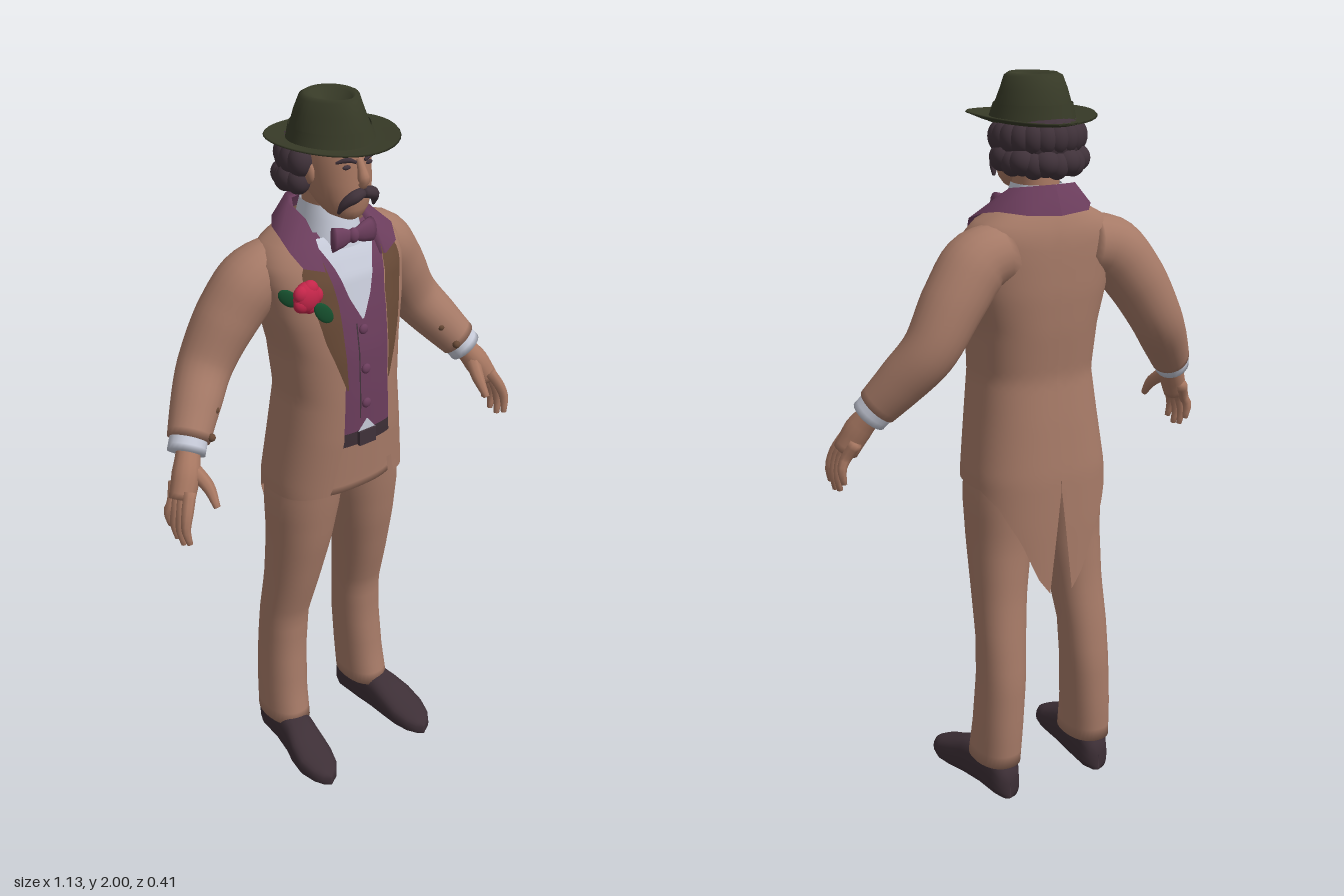
import * as THREE from 'three';

const mat = (name, color) => {
  const m = new THREE.MeshStandardMaterial({ color, side: THREE.DoubleSide });
  m.name = name;
  return m;
};
const V = (x, y, z) => new THREE.Vector3(x, y, z);
const mix = THREE.MathUtils.lerp;

// Linear lookup in rows [key, a, b, ...] sorted by rising key
function keyed(rows, k) {
  let i = 0;
  while (i < rows.length - 2 && k > rows[i + 1][0]) i++;
  const [a, b] = [rows[i], rows[i + 1]];
  const t = THREE.MathUtils.clamp((k - a[0]) / (b[0] - a[0]), 0, 1);
  return a.slice(1).map((v, n) => mix(v, b[n + 1], t));
}

// Skin a list of equal-length cross-sections
function loft(rings, closed = true) {
  const n = rings[0].length, idx = [];
  for (let i = 0; i < rings.length - 1; i++)
    for (let j = 0; j < (closed ? n : n - 1); j++) {
      const a = i * n + j, b = i * n + (j + 1) % n;
      idx.push(a, a + n, b, b, a + n, b + n);
    }
  const g = new THREE.BufferGeometry().setFromPoints(rings.flat());
  g.setIndex(idx);
  g.computeVertexNormals();
  return g;
}

const pw = (v, p) => Math.sign(v) * Math.abs(v) ** p;
// Horizontal rounded section
function ring(y, rx, zf, zb, cx = 0, p = 0.9, n = 36) {
  return Array.from({ length: n }, (_, j) => {
    const t = j / n * Math.PI * 2;
    return V(cx + rx * pw(Math.sin(t), p), y, (zf + zb) / 2 + (zf - zb) / 2 * pw(Math.cos(t), p));
  });
}

// Round limb along a curve; radii are spread evenly; ends are capped
function limb(pts, radii, steps = 16, n = 14) {
  const c = new THREE.CatmullRomCurve3(pts.map(p => V(...p)));
  const f = c.computeFrenetFrames(steps);
  const rows = radii.map((r, i) => [i / (radii.length - 1), r]);
  const rings = [];
  for (let i = -1; i <= steps + 1; i++) {
    const k = THREE.MathUtils.clamp(i, 0, steps), o = c.getPointAt(k / steps);
    const r = i === k ? keyed(rows, k / steps)[0] : 0;
    rings.push(Array.from({ length: n }, (_, j) => {
      const t = -j / n * Math.PI * 2;
      return o.clone().addScaledVector(f.normals[k], r * Math.cos(t)).addScaledVector(f.binormals[k], r * Math.sin(t));
    }));
  }
  return loft(rings);
}

// Torso profile: y, half width, front z, back z
const TORSO = [[0.62, 0.19, 0.12, -0.187], [0.8, 0.205, 0.12, -0.187], [0.95, 0.2, 0.122, -0.185],
  [1.1, 0.18, 0.13, -0.171], [1.22, 0.166, 0.13, -0.157], [1.35, 0.176, 0.124, -0.172], [1.45, 0.2, 0.108, -0.178],
  [1.55, 0.215, 0.085, -0.177], [1.6, 0.21, 0.06, -0.174], [1.64, 0.175, 0.035, -0.162], [1.68, 0.095, 0.0, -0.14]];
const EXP = 0.8, SIDES = 48;
const body = (y, inset) => {
  const [rx, zf, zb] = keyed(TORSO, y);
  return ring(y, rx - inset, zf - inset, zb + inset, 0, EXP, SIDES);
};
function frontZ(x, y, off = 0) {
  const [rx, zf, zb] = keyed(TORSO, y);
  const s = Math.min(1, Math.abs(x) / rx) ** (1 / EXP);
  return (zf + zb) / 2 + (zf - zb) / 2 * Math.sqrt(1 - s * s) ** EXP + off;
}
// Thin cloth panel lying on the chest between two x outlines
function panel(inner, outer, y0, y1, off, s = 1) {
  const rows = [];
  for (let i = 0; i <= 20; i++) {
    const y = mix(y1, y0, i / 20), a = keyed(inner, y)[0], b = keyed(outer, y)[0];
    rows.push(Array.from({ length: 9 }, (_, j) => { const x = s * mix(a, b, j / 8); return V(x, y, frontZ(x, y, off)); }));
  }
  return loft(rows, false);
}
const GAP = [[0.92, 0.12], [0.96, 0.105], [1.1, 0.076], [1.27, 0.07], [1.5, 0.08], [1.62, 0.1], [1.68, 0.08]];
const HEM = [[0, 0.94], [0.25, 0.925], [0.5, 0.92], [0.65, 0.88], [0.8, 0.79], [0.92, 0.67], [1, 0.62]];
const SLIT = [[0.62, 0.035], [0.92, 0]];

// Half of the tailcoat, from the front opening round to the back slit
function coatHalf(s) {
  const rows = [];
  for (let i = 0; i <= 36; i++)
    rows.push(Array.from({ length: 29 }, (_, j) => {
      const u = j / 28, y = mix(1.68, keyed(HEM, u)[0], i / 36);
      const [rx, zf, zb] = keyed(TORSO, y);
      const ang = x => Math.asin(Math.min(1, (x / rx) ** (1 / EXP)));
      const t = mix(ang(keyed(GAP, y)[0]), Math.PI - ang(keyed(SLIT, y)[0]), u);
      return V(s * rx * pw(Math.sin(t), EXP), y, (zf + zb) / 2 + (zf - zb) / 2 * pw(Math.cos(t), EXP));
    }));
  return loft(rows, false);
}

export function createModel() {
  const root = new THREE.Group();
  root.name = 'gentleman';
  const suit = mat('suit tan', 0xa67a67), lapel = mat('lapel brown', 0x664835), purple = mat('purple cloth', 0x6b3d5c),
    white = mat('shirt white', 0xc6cad8), hatMat = mat('hat green', 0x373a27), hair = mat('hair brown', 0x40323a),
    leather = mat('dark leather', 0x3d2f36), skin = mat('skin', 0xa87862), red = mat('rose red', 0xc4264a), green = mat('leaf green', 0x16502e);
  const add = (name, geo, m) => {
    const o = new THREE.Mesh(geo, m);
    o.name = name;
    root.add(o);
    return o;
  };
  const ball = (name, m, p, r, rot = [0, 0, 0]) => {
    const o = add(name, new THREE.SphereGeometry(1, 20, 14), m);
    o.position.set(...p); o.scale.set(...r); o.rotation.set(...rot);
  };

  // Waistcoat, shirt front, belt and trouser seat
  const levels = (a, b, n, inset) => Array.from({ length: n + 1 }, (_, i) => body(mix(a, b, i / n), inset));
  add('waistcoat', loft(levels(1.66, 1.115, 20, 0.012)), purple);
  const half = [[1.44, 0.003], [1.5, 0.034], [1.58, 0.06], [1.64, 0.09]];
  add('shirtFront', panel(half.map(([y, x]) => [y, -x]), half, 1.44, 1.65, -0.005), white);
  add('shirtTail', panel([[1.12, -0.03], [1.155, 0]], [[1.12, 0.03], [1.155, 0]], 1.12, 1.155, -0.006), white);
  add('belt', loft(levels(1.12, 1.08, 3, 0.01)), leather);
  add('beltBuckle', new THREE.BoxGeometry(0.055, 0.042, 0.012), hair).position.set(0, 1.1, 0.124);
  const seat = levels(1.09, 0.93, 8, 0.02);
  seat.push(ring(0.89, 0.13, 0.05, -0.1, 0, EXP, SIDES), ring(0.88, 0.001, -0.02, -0.03, 0, EXP, SIDES));
  add('trouserSeat', loft(seat), suit);
  for (const y of [1.2, 1.3, 1.41]) ball('waistcoatButton', purple, [0, y, frontZ(0, y, -0.008)], [0.014, 0.014, 0.008]);
  add('waistcoatSeam', panel([[1.16, -0.022], [1.43, -0.022]], [[1.16, -0.018], [1.43, -0.018]], 1.16, 1.43, -0.008), hair);

  for (const s of [1, -1]) {
    const side = s > 0 ? 'left' : 'right', m = pts => pts.map(([x, y, z]) => [s * x, y, z]);
    // Coat, lapel and collar
    add(side + 'Coat', coatHalf(s), suit);
    add(side + 'Lapel', panel(GAP.map(([y, x]) => [y, x - 0.004]),
      [[1.26, 0.07], [1.4, 0.118], [1.5, 0.14], [1.575, 0.158], [1.62, 0.135]], 1.26, 1.62, 0.007, s), lapel);
    const collar = [
      [[0.09, 1.58, 0.06], [0.098, 1.585, 0.075], [0.15, 1.60, 0.052]],
      [[0.085, 1.65, 0.015], [0.095, 1.66, 0.03], [0.165, 1.635, 0.015]],
      [[0.08, 1.69, -0.03], [0.09, 1.7, -0.03], [0.155, 1.655, -0.04]],
      [[0.085, 1.71, -0.075], [0.098, 1.72, -0.08], [0.14, 1.665, -0.095]],
      [[0.06, 1.715, -0.115], [0.068, 1.728, -0.13], [0.09, 1.66, -0.163]],
      [[0, 1.715, -0.13], [0, 1.73, -0.146], [0, 1.655, -0.178]]];
    add(side + 'Collar', loft(collar.map(r => m(r).map(p => V(...p))), false), purple);

    // Sleeve, cuff and buttons
    add(side + 'Sleeve', limb(m([[0.12, 1.56, -0.09], [0.2, 1.54, -0.092], [0.275, 1.455, -0.105], [0.35, 1.335, -0.108],
      [0.41, 1.255, -0.07], [0.463, 1.185, -0.03]]), [0.08, 0.088, 0.083, 0.074, 0.067, 0.056], 28, 22), suit);
    add(side + 'Cuff', limb(m([[0.455, 1.195, -0.036], [0.481, 1.158, -0.016]]), [0.05, 0.05], 3, 20), white);
    for (const p of m([[0.385, 1.25, -0.018], [0.42, 1.195, 0.012]])) ball('sleeveButton', lapel, p, [0.011, 0.011, 0.011]);

    // Hand with four fingers and a thumb
    add(side + 'Palm', limb(m([[0.47, 1.17, -0.02], [0.5, 1.12, 0.01], [0.53, 1.06, 0.03]]), [0.03, 0.037, 0.034], 8, 14), skin);
    for (let i = 0; i < 4; i++) {
      const z = 0.064 - i * 0.023, lift = [0.015, 0, 0.005, 0.03][i];
      add(side + 'Finger', limb(m([[0.52, 1.09, z - 0.01], [0.543, 1.045, z + 0.01], [0.555, 0.99 + lift, z + 0.018 - i * 0.004],
        [0.55, 0.948 + lift, z + 0.025 - i * 0.006]]), [0.017, 0.016, 0.013, 0.008], 8, 8), skin);
    }
    add(side + 'Thumb', limb(m([[0.485, 1.13, 0.01], [0.468, 1.09, 0.06], [0.468, 1.045, 0.098]]), [0.022, 0.018, 0.009], 8, 8), skin);

    // Trouser leg: y, centre x, half width, front z, back z
    const leg = [[0.1, 0.151, 0.064, 0.018, -0.165], [0.2, 0.147, 0.064, -0.002, -0.17], [0.35, 0.139, 0.065, -0.014, -0.17],
      [0.47, 0.134, 0.067, -0.012, -0.158], [0.6, 0.124, 0.073, 0.025, -0.142], [0.75, 0.112, 0.086, 0.06, -0.135],
      [0.88, 0.103, 0.098, 0.08, -0.145], [0.98, 0.095, 0.093, 0.09, -0.15]];
    const rings = [];
    for (let i = 0; i <= 24; i++) {
      const y = mix(0.98, 0.1, i / 24), [cx, hw, zf, zb] = keyed(leg, y);
      rings.push(ring(y, hw, zf, zb, s * cx));
    }
    rings.push(ring(0.105, 0.02, -0.05, -0.09, s * 0.15));
    add(side + 'TrouserLeg', loft(rings), suit);

    // Shoe: z, centre x, half width, height
    const shoe = [[-0.163, 0.15, 0.002, 0.05], [-0.16, 0.15, 0.03, 0.09], [-0.13, 0.15, 0.046, 0.12], [-0.05, 0.155, 0.048, 0.13],
      [0.02, 0.165, 0.052, 0.12], [0.07, 0.174, 0.058, 0.098], [0.12, 0.179, 0.058, 0.074], [0.165, 0.18, 0.045, 0.058],
      [0.19, 0.181, 0.026, 0.045], [0.2, 0.181, 0.002, 0.03]];
    add(side + 'Shoe', loft(shoe.map(([z, cx, hw, h]) => Array.from({ length: 20 }, (_, j) => {
      const t = -j / 20 * Math.PI * 2;
      return V(s * cx + hw * pw(Math.cos(t), 0.7), h / 2 + h / 2 * pw(Math.sin(t), 0.7), z);
    }))), leather);

    // Bow tie wing, eye, brow, moustache half and ear
    const wing = add(side + 'BowWing', limb(m([[0, 0, 0], [0.03, 0, 0.002], [0.062, 0, -0.004]]), [0.012, 0.026, 0.034], 6, 12), purple);
    wing.position.set(0, 1.655, 0.058);
    wing.scale.z = 0.5;
    ball(side + 'Eye', hair, [s * 0.034, 1.845, 0.077], [0.012, 0.006, 0.006]);
    add(side + 'Brow', limb(m([[0.014, 1.857, 0.088], [0.035, 1.866, 0.084], [0.06, 1.858, 0.066]]), [0.004, 0.007, 0.003], 6, 8), hair);
    add(side + 'Moustache', limb(m([[0, 1.78, 0.098], [0.025, 1.775, 0.1], [0.048, 1.755, 0.085], [0.056, 1.73, 0.072]]),
      [0.013, 0.017, 0.012, 0.004], 10, 10), hair);
    ball(side + 'Ear', skin, [s * 0.084, 1.82, -0.01], [0.012, 0.03, 0.02]);
  }
  ball('bowKnot', purple, [0, 1.655, 0.062], [0.016, 0.02, 0.014]);

  // Neck, shirt collar, head and nose
  add('neck', loft([ring(1.79, 0.055, 0.03, -0.11), ring(1.65, 0.06, 0.01, -0.12)]), skin);
  add('shirtCollar', loft([ring(1.725, 0.062, 0.02, -0.12), ring(1.69, 0.07, 0.035, -0.13), ring(1.62, 0.085, 0.052, -0.135)]), white);
  add('head', loft([[1.93, 0.07, 0.06, -0.12], [1.89, 0.083, 0.082, -0.13], [1.84, 0.084, 0.084, -0.13], [1.8, 0.08, 0.089, -0.11],
    [1.76, 0.073, 0.089, -0.08], [1.73, 0.059, 0.086, -0.05], [1.71, 0.042, 0.078, -0.03], [1.7, 0.022, 0.066, -0.01],
    [1.698, 0.001, 0.05, 0.04]].map(r => ring(...r))), skin);
  add('nose', limb([[0, 1.862, 0.082], [0, 1.83, 0.097], [0, 1.804, 0.103], [0, 1.795, 0.092]], [0.008, 0.011, 0.016, 0.008], 8, 10), skin);

  // Wavy hair: a core with curls around the sides and back
  ball('hairCore', hair, [0, 1.835, -0.085], [0.108, 0.08, 0.085]);
  for (let i = 0; i < 13; i++) {
    const a = mix(-0.28, Math.PI + 0.28, i / 12), r = 0.032 + 0.005 * (i % 2);
    ball('curl', hair, [0.1 * Math.cos(a), 1.79 - 0.012 * Math.sin(a) + 0.006 * (i % 2), -0.062 - 0.088 * Math.sin(a)], [r, 0.036, r]);
    ball('curl', hair, [0.098 * Math.cos(a), 1.845, -0.055 - 0.09 * Math.sin(a)], [0.034, 0.042, 0.034]);
  }

  // Hat with curled brim and pinched crown
  const brim = [[0.09, 0.08, 1.888], [0.13, 0.14, 1.886], [0.163, 0.177, 1.893], [0.166, 0.18, 1.889], [0.13, 0.14, 1.879], [0.09, 0.08, 1.88]];
  add('hatBrim', loft(brim.map(([rx, rz, y]) => ring(y, rx, rz - 0.025, -rz - 0.025, 0, 1).map(p => {
    p.y += 0.45 * p.x * p.x + 0.03 * p.z;
    return p;
  }))), hatMat);
  const crown = [[1.974, 0.006, 0.0, -0.05], [1.978, 0.03, 0.02, -0.07], [1.993, 0.052, 0.034, -0.088], [2.0, 0.064, 0.044, -0.098],
    [1.993, 0.078, 0.054, -0.11], [1.96, 0.09, 0.066, -0.124], [1.925, 0.1, 0.075, -0.134], [1.88, 0.11, 0.085, -0.142]];
  const pinch = (r, grow = 0) => ring(r[0], r[1] + grow, r[2] + grow, r[3] - grow, 0, 1).map(p => {
    p.x *= 1 - 0.35 * Math.max(0, (p.z + 0.03) / 0.11) * THREE.MathUtils.smoothstep(p.y, 1.88, 1.99);
    return p;
  });
  add('hatCrown', loft(crown.map(r => pinch(r))), hatMat);
  add('hatBand', loft([pinch(crown[6], 0.004), pinch(crown[7], 0.004)]), hatMat);

  // Rose and leaves on the lapel
  const rz = frontZ(-0.155, 1.53);
  ball('rose', red, [-0.155, 1.532, rz + 0.01], [0.04, 0.042, 0.026]);
  for (let i = 0; i < 5; i++) {
    const a = i / 5 * Math.PI * 2;
    ball('petal', red, [-0.155 + 0.022 * Math.cos(a), 1.532 + 0.022 * Math.sin(a), rz + 0.013], [0.024, 0.024, 0.018]);
  }
  ball('leaf', green, [-0.2, 1.535, frontZ(-0.18, 1.535) + 0.012], [0.03, 0.02, 0.006], [0, -0.6, -0.7]);
  ball('leaf', green, [-0.122, 1.488, frontZ(-0.122, 1.488) + 0.014], [0.036, 0.02, 0.006], [0, -0.2, -0.9]);
  return root;
}
